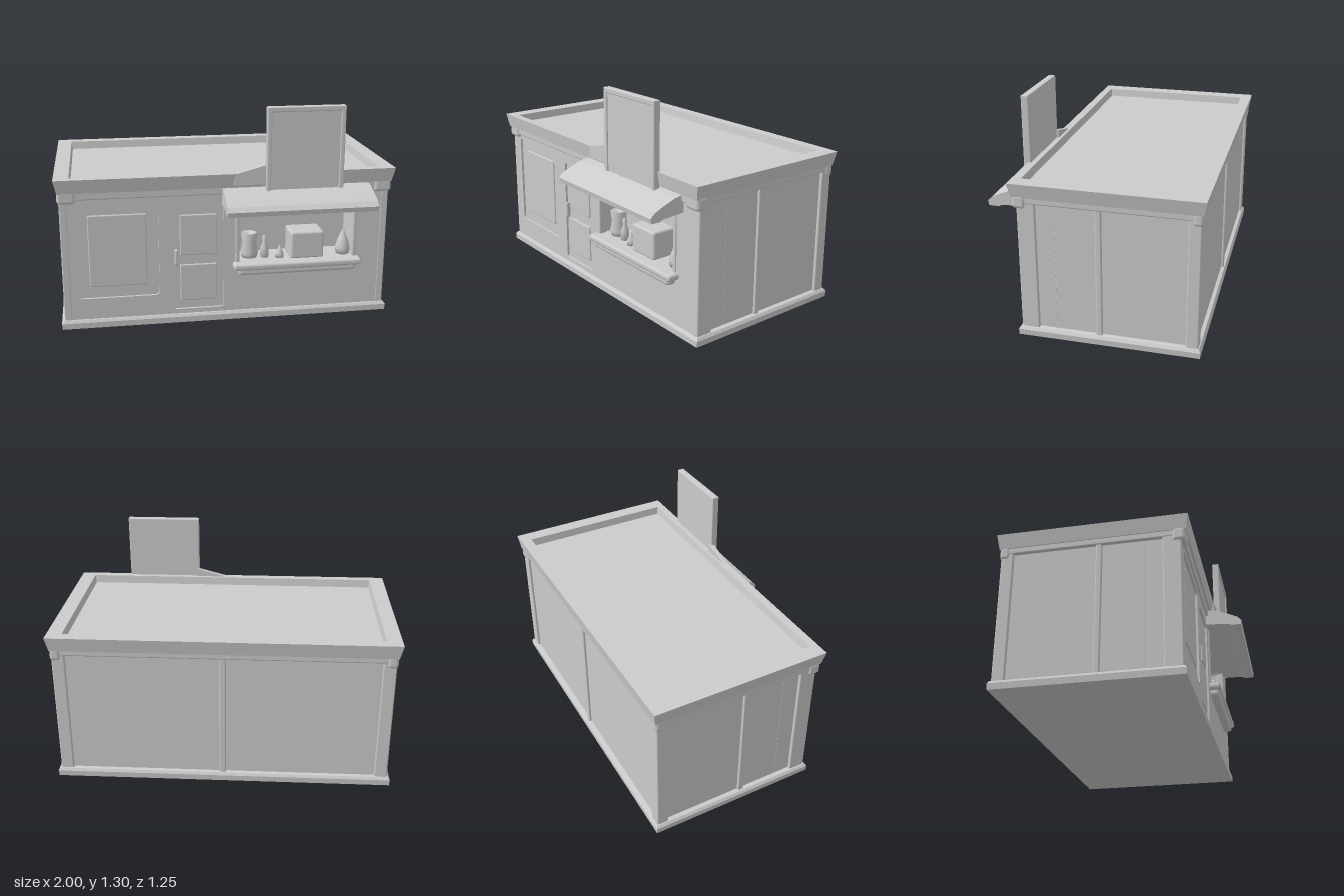
import * as THREE from 'three';
import { RoundedBoxGeometry } from 'three/addons/geometries/RoundedBoxGeometry.js';

const mat = new THREE.MeshStandardMaterial({ color: 0xcccccc });

export function createModel() {
  const model = new THREE.Group();

  const add = (name, geometry) => {
    const mesh = new THREE.Mesh(geometry, mat);
    mesh.name = name;
    model.add(mesh);
    return mesh;
  };

  // Box given by its limits, with softened edges
  const box = (name, x0, x1, y0, y1, z0, z1, r = 0.008) => {
    const mesh = add(name, new RoundedBoxGeometry(x1 - x0, y1 - y0, z1 - z0, 2, r));
    mesh.position.set((x0 + x1) / 2, (y0 + y1) / 2, (z0 + z1) / 2);
    return mesh;
  };

  // Rectangular sweep: each row is [half width, back z, front z, y]
  const rectLoft = (name, rows) => {
    const loops = rows.map(([w, b, f, y]) => [[-w, y, f], [w, y, f], [w, y, b], [-w, y, b]]);
    const pos = [];
    for (let i = 0; i < loops.length - 1; i++) {
      for (let j = 0; j < 4; j++) {
        const k = (j + 1) % 4;
        const [a, b, c, d] = [loops[i][j], loops[i][k], loops[i + 1][k], loops[i + 1][j]];
        pos.push(...a, ...b, ...c, ...a, ...c, ...d);
      }
    }
    const g = new THREE.BufferGeometry();
    g.setAttribute('position', new THREE.Float32BufferAttribute(pos, 3));
    g.computeVertexNormals();
    return add(name, g);
  };

  // Rounded rectangle outline used for wall openings
  const opening = (x0, x1, y0, y1, r) => {
    const p = new THREE.Path();
    p.moveTo(x0 + r, y0);
    p.lineTo(x1 - r, y0);
    p.quadraticCurveTo(x1, y0, x1, y0 + r);
    p.lineTo(x1, y1 - r);
    p.quadraticCurveTo(x1, y1, x1 - r, y1);
    p.lineTo(x0 + r, y1);
    p.quadraticCurveTo(x0, y1, x0, y1 - r);
    p.lineTo(x0, y0 + r);
    p.quadraticCurveTo(x0, y0, x0 + r, y0);
    return p;
  };

  const frontLayer = (name, z0, z1, holes) => {
    const s = new THREE.Shape();
    s.moveTo(-0.958, 0.03);
    s.lineTo(0.958, 0.03);
    s.lineTo(0.958, 0.85);
    s.lineTo(-0.958, 0.85);
    s.closePath();
    s.holes.push(...holes);
    const g = new THREE.ExtrudeGeometry(s, { depth: z1 - z0, bevelEnabled: false, curveSegments: 6 });
    g.translate(0, 0, z0);
    add(name, g);
  };

  // Main block, with the front wall in layers so the window and door sink in
  box('body', -0.958, 0.958, 0.02, 0.85, -0.585, 0.2, 0.002);
  const win = () => opening(0.06, 0.77, 0.34, 0.74, 0.04);
  frontLayer('frontWall', 0.2, 0.386, [win()]);
  frontLayer('frontFacing', 0.386, 0.4, [
    win(),
    opening(-0.325, -0.025, 0.08, 0.72, 0.015),
    opening(-0.89, -0.41, 0.18, 0.76, 0.03),
  ]);

  // Raised panels of the door and the front left bay
  box('doorUpperPanel', -0.285, -0.065, 0.42, 0.67, 0.375, 0.395, 0.007);
  box('doorLowerPanel', -0.285, -0.065, 0.13, 0.36, 0.375, 0.395, 0.007);
  box('doorHandle', -0.318, -0.298, 0.36, 0.46, 0.38, 0.412);
  box('frontPanel', -0.82, -0.48, 0.25, 0.69, 0.375, 0.394, 0.007);

  // Plinth
  rectLoft('plinth', [
    [0, -0.1, -0.1, 0], [0.99, -0.613, 0.417, 0], [0.993, -0.615, 0.418, 0.035],
    [0.982, -0.606, 0.408, 0.05], [0.95, -0.57, 0.37, 0.055],
  ]);

  // Corner posts, side and back pilasters, rails under the cornice
  for (const s of [-1, 1]) {
    const side = (name, y0, y1, z0, z1, out) =>
      box(name, Math.min(s * 0.93, s * out), Math.max(s * 0.93, s * out), y0, y1, z0, z1);
    side('frontCornerPost', 0.03, 0.84, 0.3, 0.402, 0.976);
    side('backCornerPost', 0.03, 0.84, -0.6, -0.53, 0.976);
    side('sidePilaster', 0.04, 0.83, -0.065, -0.03, 0.973);
    side('sideTopRail', 0.8, 0.85, -0.59, 0.39, 0.978);
    box('backCornerFace', s > 0 ? 0.9 : -0.976, s > 0 ? 0.976 : -0.9, 0.03, 0.84, -0.601, -0.56);
    box('frontCapital', s > 0 ? 0.88 : -0.985, s > 0 ? 0.985 : -0.88, 0.77, 0.85, 0.35, 0.425, 0.02);
    box('backCapital', s > 0 ? 0.92 : -0.983, s > 0 ? 0.983 : -0.92, 0.77, 0.85, -0.61, -0.55, 0.02);
  }
  box('backPilaster', -0.02, 0.02, 0.04, 0.83, -0.6, -0.57);
  box('backTopRail', -0.95, 0.95, 0.8, 0.85, -0.603, -0.56);
  box('frontTopRail', -0.95, 0.95, 0.79, 0.85, 0.37, 0.414);

  // Flared cornice, parapet and sunken roof
  rectLoft('parapet', [
    [0.95, -0.58, 0.38, 0.825], [0.982, -0.612, 0.428, 0.835], [1.0, -0.625, 0.442, 0.918],
    [0.912, -0.557, 0.393, 0.918], [0.905, -0.55, 0.386, 0.87], [0, -0.08, -0.08, 0.87],
  ]);

  // Sign board with raised rim and a sloping shoulder beside it
  box('signBoard', 0.215, 0.675, 0.8, 1.305, 0.424, 0.458, 0.006);
  box('signRimTop', 0.215, 0.675, 1.275, 1.305, 0.424, 0.467, 0.006);
  for (const x of [0.215, 0.648]) box('signRimSide', x, x + 0.027, 0.8, 1.305, 0.424, 0.467, 0.006);
  const shoulder = new THREE.Shape([[0.03, 0.85], [0.23, 0.85], [0.23, 0.968], [0.03, 0.915]]
    .map(([x, y]) => new THREE.Vector2(x, y)));
  add('signShoulder', new THREE.ExtrudeGeometry(shoulder, { depth: 0.03, bevelEnabled: false }))
    .position.z = 0.412;

  // Awning: side profile in (z, y), extruded across x
  const awning = new THREE.Shape([
    [0.38, 0.73], [0.54, 0.72], [0.56, 0.71], [0.615, 0.712], [0.62, 0.74],
    [0.595, 0.765], [0.54, 0.79], [0.465, 0.818], [0.38, 0.835],
  ].map(([z, y]) => new THREE.Vector2(-z, y)));
  const awningGeo = new THREE.ExtrudeGeometry(awning, { depth: 0.88, bevelEnabled: false });
  awningGeo.rotateY(Math.PI / 2);
  add('awning', awningGeo).position.x = -0.035;

  // Window frame and serving counter
  for (const x of [0.045, 0.765]) box('windowJamb', x, x + 0.025, 0.35, 0.73, 0.36, 0.408);
  box('counter', 0.03, 0.81, 0.325, 0.365, 0.21, 0.466, 0.015);
  box('counterApron', 0.06, 0.78, 0.29, 0.34, 0.37, 0.452, 0.018);

  // Goods on the counter
  const turned = (name, x, z, points) =>
    add(name, new THREE.LatheGeometry(points.map(([r, y]) => new THREE.Vector2(r, y)), 20))
      .position.set(x, 0.363, z);
  turned('jar', 0.145, 0.32, [[0, 0], [0.045, 0], [0.054, 0.03], [0.042, 0.09], [0.05, 0.155], [0.035, 0.155], [0, 0.14]]);
  turned('bottle', 0.235, 0.34, [[0, 0], [0.025, 0], [0.025, 0.06], [0.012, 0.09], [0.012, 0.135], [0, 0.14]]);
  turned('smallBottle', 0.325, 0.36, [[0, 0], [0.026, 0], [0.024, 0.03], [0.01, 0.06], [0, 0.085]]);
  turned('tallBottle', 0.725, 0.34, [[0, 0], [0.04, 0], [0.046, 0.04], [0.03, 0.09], [0.01, 0.14], [0, 0.16]]);
  box('displayCase', 0.385, 0.59, 0.36, 0.53, 0.24, 0.4, 0.015);

  return model;
}
